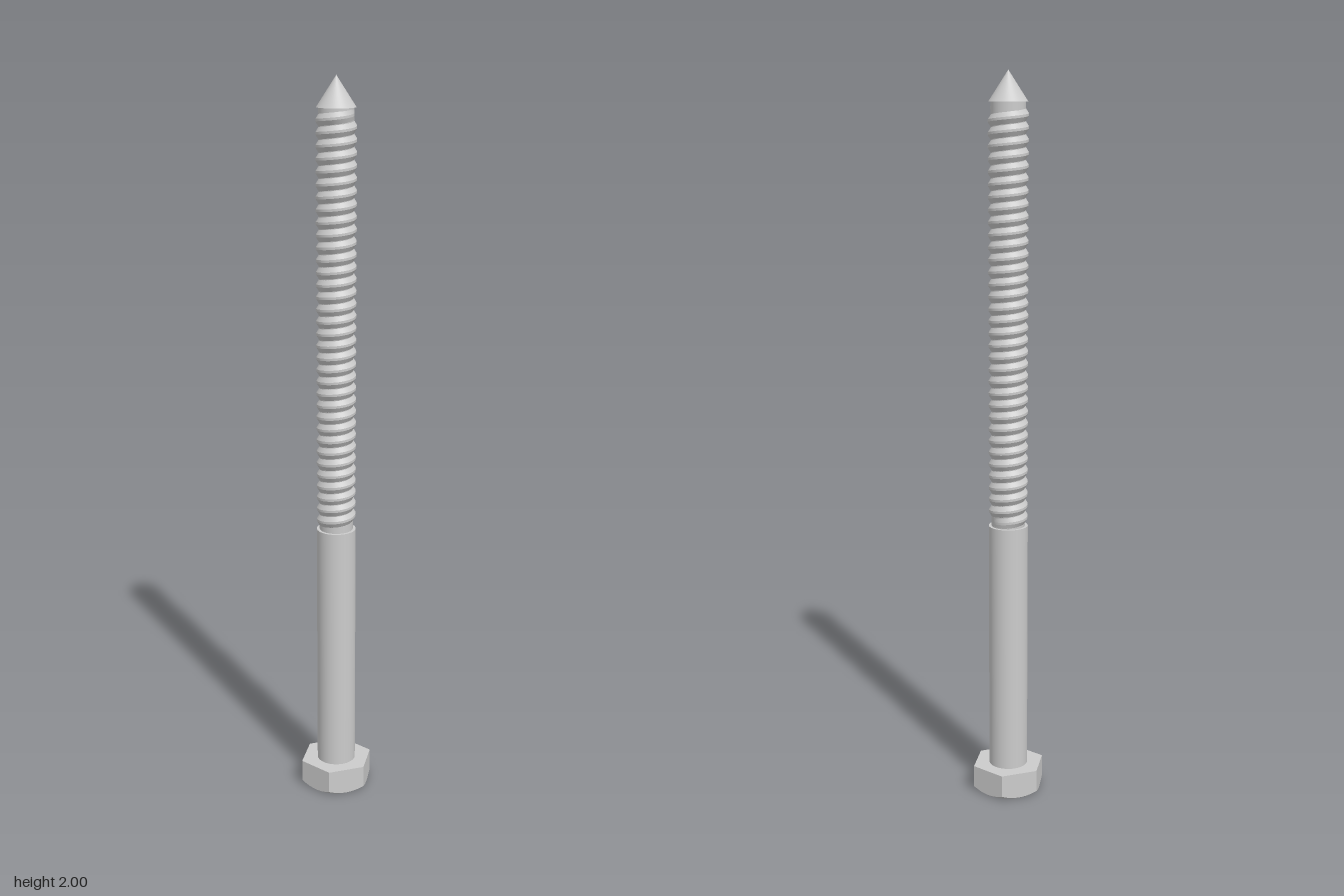
import * as THREE from 'three';
import { mergeGeometries } from 'three/addons/utils/BufferGeometryUtils.js';

const SHANK_R = 0.054, ROOT_R = 0.046, CREST_R = 0.054;
const THREAD_Y0 = 0.775, THREAD_Y1 = 1.922, TURNS = 34, SEG = 36;
const HEAD_H = 0.075, FLAT = 0.09;

const material = new THREE.MeshStandardMaterial({ color: 0xcccccc });

// Skin a list of rows (bottom to top), columns running counter-clockwise seen from above
function skin(rows) {
  const n = rows[0].length, index = [];
  for (let r = 0; r < rows.length - 1; r++) {
    for (let c = 0; c < n - 1; c++) {
      const a = r * n + c, d = a + n;
      index.push(a, a + 1, d, a + 1, d + 1, d);
    }
  }
  const g = new THREE.BufferGeometry();
  g.setAttribute('position', new THREE.Float32BufferAttribute(rows.flat(2), 3));
  g.setIndex(index);
  g.computeVertexNormals();
  return g;
}

const polar = (r, a, y) => [r * Math.cos(a), y, -r * Math.sin(a)];

// Hexagonal head with a conical chamfer on its outer face
function headGeometry() {
  const angles = Array.from({ length: 49 }, (_, i) => (i / 48) * Math.PI * 2);
  const hexR = (a) => {
    const sector = Math.PI / 3;
    return FLAT / Math.cos((a % sector) - sector / 2);
  };
  const rows = [
    angles.map((a) => polar(0, a, 0)),
    angles.map((a) => polar(FLAT - 0.003, a, 0)),
    angles.map((a) => polar(hexR(a), a, (hexR(a) - FLAT + 0.003) * 0.75)),
    angles.map((a) => polar(hexR(a), a, HEAD_H)),
    angles.map((a) => polar(0, a, HEAD_H)),
  ];
  const g = skin(rows).toNonIndexed();
  g.computeVertexNormals();
  return g;
}

// Helical ridge swept around the core, fading out at both ends
function threadGeometry() {
  const pitch = (THREAD_Y1 - THREAD_Y0) / (TURNS + 1);
  const profile = [[0, 0], [0.4, 1], [0.6, 1], [1, 0]]; // height in pitches, ridge fraction
  const steps = TURNS * SEG;
  const rows = profile.map(([h, k]) => {
    const row = [];
    for (let i = 0; i <= steps; i++) {
      const turn = i / SEG;
      const fade = Math.min(1, turn * 3, (TURNS - turn) * 3);
      const r = ROOT_R - 0.0005 + (CREST_R - ROOT_R) * k * fade;
      row.push(polar(r, turn * Math.PI * 2, THREAD_Y0 + (turn + h) * pitch));
    }
    return row;
  });
  // Separate strips keep the crest edges sharp
  return mergeGeometries([0, 1, 2].map((i) => skin([rows[i], rows[i + 1]])));
}

export function createModel() {
  const bolt = new THREE.Group();
  bolt.name = 'lagBolt';
  const add = (name, geometry, y = 0) => {
    const mesh = new THREE.Mesh(geometry, material);
    mesh.name = name;
    mesh.position.y = y;
    bolt.add(mesh);
  };
  const cylinder = (r, y0, y1) => new THREE.CylinderGeometry(r, r, y1 - y0, 48);

  add('hexHead', headGeometry());

  // Plain shank above the head
  add('shank', cylinder(SHANK_R, HEAD_H - 0.01, 0.78), (HEAD_H - 0.01 + 0.78) / 2);

  // Threaded section
  add('threadCore', cylinder(ROOT_R, 0.77, 1.921), (0.77 + 1.921) / 2);
  add('thread', threadGeometry());

  // Pointed tip
  add('tip', new THREE.ConeGeometry(0.052, 0.08, 48), 1.96);

  return bolt;
}
